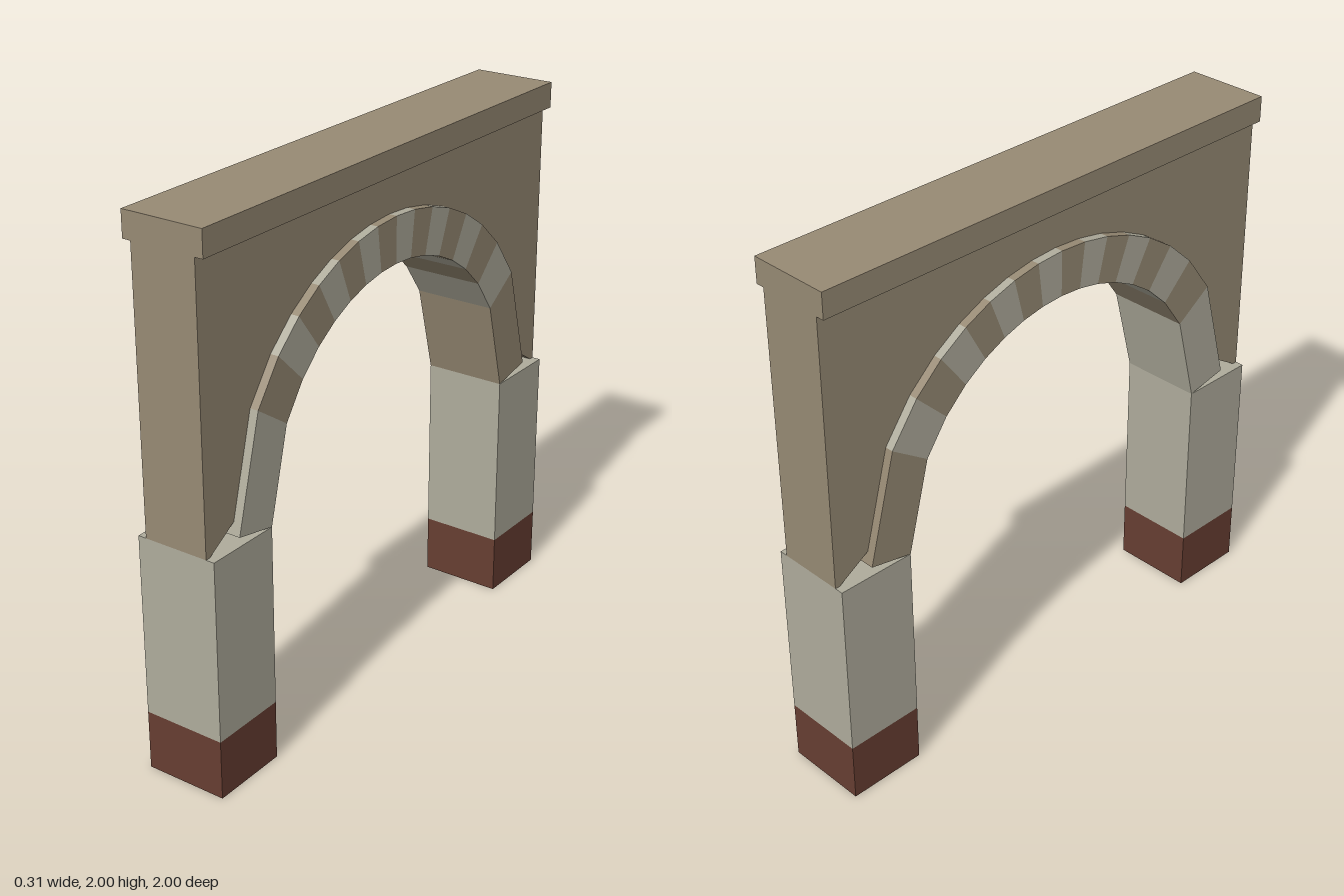
import * as THREE from 'three';

const HALF = 0.157;      // half depth of piers, arch stones and coping
const WALL = 0.125;      // half depth of the recessed wall
const SPRING = 0.895;    // height of the pier tops
const STONES = 16;

export function createModel() {
  const model = new THREE.Group();
  model.name = 'archway';
  const mat = (name, color) => {
    const m = new THREE.MeshStandardMaterial({ color });
    m.name = name;
    return m;
  };
  const tan = mat('tan stone', 0x978a74);
  const pale = mat('pale stone', 0xafac9c);
  const brown = mat('brown plinth', 0x673e32);

  const add = (name, geo, material) => {
    const mesh = new THREE.Mesh(geo, material);
    mesh.name = name;
    model.add(mesh);
    return mesh;
  };
  const box = (name, material, y0, y1, z0, z1) =>
    add(name, new THREE.BoxGeometry(2 * HALF, y1 - y0, z1 - z0), material)
      .position.set(0, (y0 + y1) / 2, (z0 + z1) / 2);

  // Extrudes a [z, y] outline across the thickness in x
  const slab = (points, half) => {
    const shape = new THREE.Shape(points.map(([z, y]) => new THREE.Vector2(z, y)));
    return new THREE.ExtrudeGeometry(shape, { depth: 2 * half, bevelEnabled: false })
      .translate(0, 0, -half)
      .rotateY(-Math.PI / 2);
  };

  // Piers on plinths
  for (const [side, z0] of [['front', 0.704], ['back', -1]]) {
    box(side + 'Plinth', brown, 0, 0.222, z0, z0 + 0.296);
    box(side + 'Pier', pale, 0.222, SPRING, z0, z0 + 0.296);
  }

  // Arch curves, divided evenly along z
  const arc = (rz, ry, y0) => (i) => {
    const t = 1 - (2 * i) / STONES;
    return [rz * t, y0 + ry * Math.sqrt(1 - t * t)];
  };
  const inner = arc(0.704, 0.697, SPRING);
  const outer = arc(0.87, 0.833, 0.928);

  // Alternating arch stones
  for (let i = 0; i < STONES; i++) {
    add('archStone' + (i + 1),
      slab([inner(i), outer(i), outer(i + 1), inner(i + 1)], HALF),
      i % 2 ? tan : pale);
  }

  // Recessed wall, its opening hidden within the arch stones
  const opening = [[0.981, SPRING], [0.856, 0.972], [0.8, 1.008]];
  for (let i = 1; i < STONES; i++) {
    const [a, b] = [inner(i), outer(i)];
    opening.push([(a[0] + b[0]) / 2, (a[1] + b[1]) / 2]);
  }
  opening.push([-0.8, 1.008], [-0.856, 0.972], [-0.981, SPRING]);
  add('wall', slab([[1, 1.905], [1, SPRING], ...opening, [-1, SPRING], [-1, 1.905]], WALL), tan);

  // Coping along the top
  box('coping', tan, 1.905, 2, -1, 1);

  return model;
}
